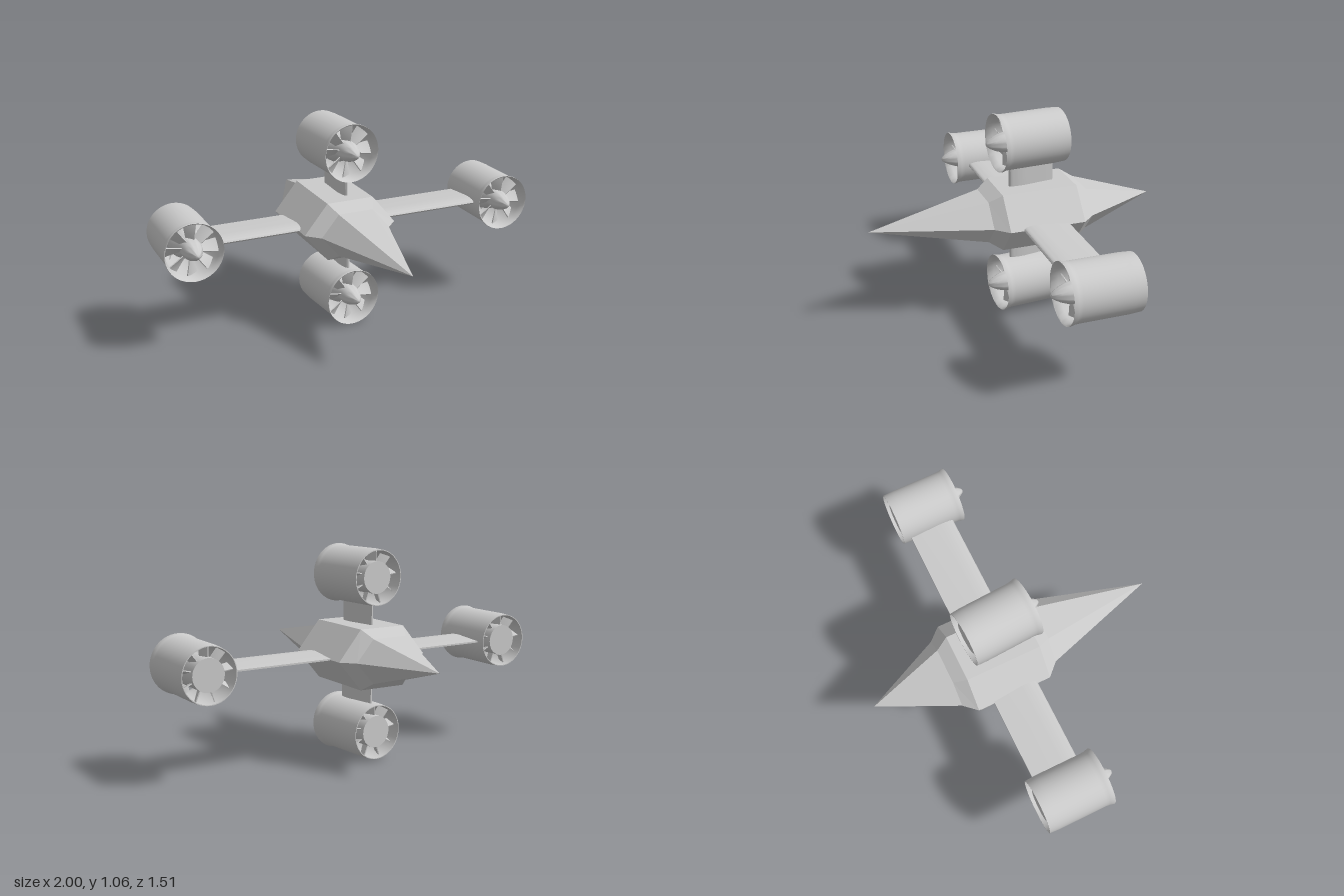
import * as THREE from 'three';
import { toCreasedNormals } from 'three/addons/utils/BufferGeometryUtils.js';

const CX = -0.05, CY = 0.537;
const smooth = new THREE.MeshStandardMaterial({ color: 0xcccccc, side: THREE.DoubleSide });
const faceted = new THREE.MeshStandardMaterial({ color: 0xcccccc, flatShading: true });

function addMesh(parent, name, geometry, material = smooth) {
  const mesh = new THREE.Mesh(geometry, material);
  mesh.name = name;
  parent.add(mesh);
  return mesh;
}

// Surface of revolution about the z axis, from [radius, z] pairs
function turned(profile, sides = 48) {
  const geo = new THREE.LatheGeometry(profile.map(([r, z]) => new THREE.Vector2(r, z)), sides);
  return toCreasedNormals(geo.rotateX(Math.PI / 2), 0.6);
}

// Six-sided hull lofted through [z, halfWidth, halfHeight] sections, rear to front
function hullGeometry(sections) {
  const corners = [[1, 0], [0.5, 1], [-0.5, 1], [-1, 0], [-0.5, -1], [0.5, -1]];
  const point = ([z, w, h], i) => [corners[i % 6][0] * w, corners[i % 6][1] * h, z];
  const pos = [];
  for (let s = 0; s < sections.length - 1; s++) {
    for (let i = 0; i < 6; i++) {
      const a = point(sections[s], i), b = point(sections[s], i + 1);
      const c = point(sections[s + 1], i + 1), d = point(sections[s + 1], i);
      if (sections[s][1] > 0) pos.push(...a, ...b, ...c);
      else pos.push(...a, ...c, ...d);
      if (sections[s][1] > 0 && sections[s + 1][1] > 0) pos.push(...a, ...c, ...d);
    }
  }
  const geo = new THREE.BufferGeometry();
  geo.setAttribute('position', new THREE.Float32BufferAttribute(pos, 3));
  geo.computeVertexNormals();
  return geo;
}

// Streamlined strut running along +x from the origin, chord along z
function strutGeometry(length) {
  const shape = new THREE.Shape();
  shape.moveTo(-0.03, 0);
  shape.bezierCurveTo(-0.03, 0.012, 0, 0.017, 0.05, 0.017);
  shape.lineTo(0.21, 0.004);
  shape.lineTo(0.21, -0.004);
  shape.lineTo(0.05, -0.017);
  shape.bezierCurveTo(0, -0.017, -0.03, -0.012, -0.03, 0);
  const geo = new THREE.ExtrudeGeometry(shape, { depth: length, bevelEnabled: false, curveSegments: 8 });
  return toCreasedNormals(geo.rotateY(Math.PI / 2), 0.6);
}

// Thin radial blade along +y, pitch easing from root to tip
function bladeGeometry(r0, r1, chord0, chord1, pitch0, pitch1) {
  const geo = new THREE.BoxGeometry(1, r1 - r0, 0.005, 2, 6, 1).translate(0, (r0 + r1) / 2, 0);
  const p = geo.attributes.position;
  for (let i = 0; i < p.count; i++) {
    const t = (p.getY(i) - r0) / (r1 - r0);
    const x = p.getX(i) * THREE.MathUtils.lerp(chord0, chord1, t), z = p.getZ(i);
    const a = THREE.MathUtils.lerp(pitch0, pitch1, t);
    p.setXYZ(i, x * Math.cos(a) - z * Math.sin(a), p.getY(i), x * Math.sin(a) + z * Math.cos(a));
  }
  geo.computeVertexNormals();
  return geo;
}

function bladeRing(parent, name, count, geo, z) {
  const ring = new THREE.Group();
  ring.name = name;
  for (let i = 0; i < count; i++) {
    addMesh(ring, name + 'Blade', geo).rotation.z = (i / count) * Math.PI * 2;
  }
  ring.position.z = z;
  parent.add(ring);
}

const ductGeo = turned([
  [0.133, -0.252], [0.137, -0.252], [0.14, -0.2], [0.14, 0.05], [0.142, 0.07],
  [0.147, 0.09], [0.146, 0.095], [0.141, 0.09], [0.134, 0.06], [0.132, 0.03], [0.133, -0.252],
]);
const hubGeo = turned([
  [0, -0.24], [0.08, -0.24], [0.08, -0.06], [0.07, -0.02], [0.052, 0.015], [0.051, 0.05],
  [0.046, 0.078], [0.036, 0.105], [0.024, 0.128], [0.011, 0.146], [0, 0.151],
], 32);
const rotorGeo = bladeGeometry(0.045, 0.132, 0.05, 0.068, 0.95, 0.55);
const statorGeo = bladeGeometry(0.075, 0.135, 0.06, 0.06, 1.3, 1.2);

// Ducted fan facing +z
function ductedFan(name) {
  const fan = new THREE.Group();
  fan.name = name;
  addMesh(fan, 'duct', ductGeo);
  addMesh(fan, 'hubAndSpinner', hubGeo);
  bladeRing(fan, 'rotor', 8, rotorGeo, 0.03);
  bladeRing(fan, 'stator', 9, statorGeo, -0.19);
  return fan;
}

export function createModel() {
  const model = new THREE.Group();
  model.name = 'fanCraft';

  // Hull: pointed at both ends, with a stepped shoulder
  const hull = addMesh(model, 'hull', hullGeometry([
    [-0.756, 0, 0], [-0.36, 0.187, 0.109], [-0.295, 0.246, 0.149],
    [0.098, 0.246, 0.149], [0.163, 0.183, 0.109], [0.756, 0, 0],
  ]), faceted);
  hull.position.set(CX, CY, 0);

  // Arms: strut direction, fan centre and slight yaw
  const arms = [
    ['left', 0, 0.848, 0.536, 0],
    ['upper', Math.PI / 2, -0.043, 0.923, 0.058],
    ['right', Math.PI, -0.853, 0.544, 0],
    ['lower', -Math.PI / 2, -0.036, 0.153, 0.075],
  ];
  for (const [side, roll, x, y, yaw] of arms) {
    const fan = ductedFan(side + 'Fan');
    fan.position.set(x, y, 0);
    fan.rotation.y = yaw;
    model.add(fan);

    // Strut runs from inside the hull to the duct wall
    const horizontal = Math.abs(Math.cos(roll)) > 0.5;
    const reach = (horizontal ? Math.abs(x - CX) : Math.abs(y - CY)) - 0.136;
    const holder = new THREE.Group();
    holder.name = side + 'StrutMount';
    holder.position.set(horizontal ? CX : x + 0.006, horizontal ? CY + 0.002 : CY, 0);
    holder.rotation.y = yaw;
    const strut = addMesh(holder, side + 'Strut', strutGeometry(reach));
    strut.rotation.z = roll + (horizontal ? -0.005 : 0);
    model.add(holder);
  }
  return model;
}
